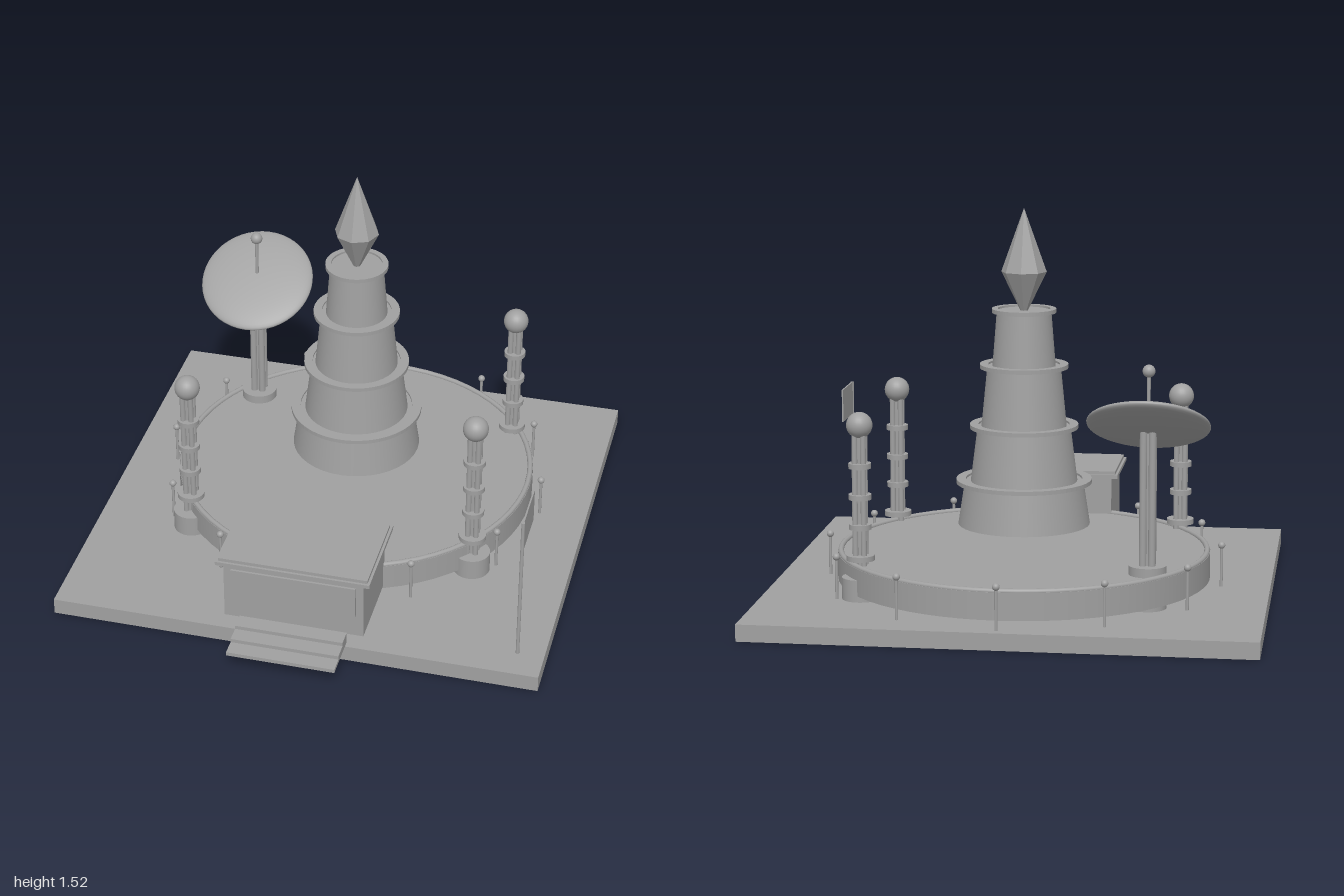
import * as THREE from 'three';

const stone = new THREE.MeshStandardMaterial({ color: 0xa0a0a0 });
stone.name = 'stone grey';
const facet = new THREE.MeshStandardMaterial({ color: 0xa0a0a0, flatShading: true });
facet.name = 'faceted grey';

function add(parent, name, geometry, x, y, z, material = stone) {
  const mesh = new THREE.Mesh(geometry, material);
  mesh.name = name;
  mesh.position.set(x, y, z);
  parent.add(mesh);
  return mesh;
}

// Box given by its limits on each axis
function box(parent, name, x0, x1, y0, y1, z0, z1) {
  return add(parent, name, new THREE.BoxGeometry(x1 - x0, y1 - y0, z1 - z0),
    (x0 + x1) / 2, (y0 + y1) / 2, (z0 + z1) / 2);
}

// Upright round part between two heights
function round(parent, name, rTop, rBottom, y0, y1, x, z, sides = 32) {
  return add(parent, name, new THREE.CylinderGeometry(rTop, rBottom, y1 - y0, sides), x, (y0 + y1) / 2, z);
}

function ball(parent, name, r, x, y, z) {
  return add(parent, name, new THREE.SphereGeometry(r, 24, 16), x, y, z);
}

// Flat hoop with a square section
function hoop(parent, name, outer, inner, y0, y1, x, z) {
  const shape = new THREE.Shape().absarc(0, 0, outer, 0, Math.PI * 2);
  shape.holes.push(new THREE.Path().absarc(0, 0, inner, 0, Math.PI * 2, true));
  const g = new THREE.ExtrudeGeometry(shape, { depth: y1 - y0, bevelEnabled: false, curveSegments: 32 });
  g.rotateX(-Math.PI / 2);
  return add(parent, name, g, x, y0, z);
}

function group(parent, name) {
  const g = new THREE.Group();
  g.name = name;
  parent.add(g);
  return g;
}

// Bundle of thin tubes around a core
function tubeBundle(parent, x, z, y0, y1, spread, r) {
  round(parent, 'core', spread * 0.8, spread * 0.8, y0, y1, x, z, 16);
  for (let i = 0; i < 4; i++) {
    const a = (i + 0.5) * Math.PI / 2;
    round(parent, 'tube', r, r, y0, y1, x + Math.cos(a) * spread, z + Math.sin(a) * spread, 12);
  }
}

function pillar(parent, x, z) {
  const p = group(parent, 'pillar');
  round(p, 'pillarFoot', 0.072, 0.072, 0.065, 0.15, x, z);
  tubeBundle(p, x, z, 0.15, 0.7, 0.023, 0.011);
  round(p, 'lowerFlange', 0.054, 0.054, 0.215, 0.235, x, z);
  for (const y of [0.345, 0.46, 0.58]) round(p, 'collar', 0.043, 0.043, y - 0.01, y + 0.01, x, z);
  ball(p, 'pillarBall', 0.05, x, 0.735, z);
}

export function createModel() {
  const model = new THREE.Group();
  model.name = 'towerPlaza';
  const cz = -0.19; // centre of the round platform

  // Ground slab and round platform with raised rim
  box(model, 'groundSlab', -0.96, 0.96, 0, 0.065, -1, 0.835);
  round(model, 'platform', 0.725, 0.725, 0.09, 0.195, 0, cz, 64);
  const rim = add(model, 'platformRim', new THREE.TorusGeometry(0.713, 0.011, 10, 64), 0, 0.197, cz);
  rim.rotation.x = Math.PI / 2;

  // Tower tiers, each capped by a hoop: bottom radius, top radius, hoop radius, heights
  const tower = group(model, 'tower');
  const tiers = [
    [0.256, 0.23, 0.263, 0.295, 0.465],
    [0.207, 0.18, 0.21, 0.465, 0.68],
    [0.165, 0.142, 0.171, 0.68, 0.915],
    [0.122, 0.105, 0.124, 0.915, 1.13],
  ];
  for (const [rb, rt, rh, y0, y1] of tiers) {
    round(tower, 'tier', rt, rb, y0, y1, 0, cz, 40);
    hoop(tower, 'tierHoop', rh, rt - 0.004, y1 - 0.008, y1 + 0.008, 0, cz);
  }

  // Faceted crystal on top
  const crystal = [[0, 1.125], [0.012, 1.125], [0.088, 1.28], [0, 1.525]].map(([r, y]) => new THREE.Vector2(r, y));
  add(tower, 'crystal', new THREE.LatheGeometry(crystal, 8), 0, 0, cz, facet);

  // Three pillars with balls
  for (const [x, z] of [[0.577, -0.555], [0.577, 0.238], [-0.577, 0.238]]) pillar(model, x, z);

  // Tilted dish on a bundled stand
  const dish = group(model, 'dishTower');
  const dx = -0.515, dz = -0.556;
  round(dish, 'standFoot', 0.072, 0.072, 0.065, 0.23, dx, dz);
  tubeBundle(dish, dx, dz, 0.22, 0.75, 0.024, 0.014);
  const bowl = add(dish, 'dish', new THREE.SphereGeometry(0.232, 48, 24), dx, 0.763, dz);
  bowl.scale.y = 0.15;
  bowl.rotation.x = 0.54;
  round(dish, 'antenna', 0.007, 0.007, 0.77, 0.96, dx, dz, 12);
  ball(dish, 'antennaBall', 0.024, dx, 0.965, dz);

  // Ring of lamp posts, open at the front
  const posts = group(model, 'lampPosts');
  for (let i = 1; i < 12; i++) {
    const a = i * Math.PI / 6;
    const x = Math.sin(a) * 0.77, z = cz + Math.cos(a) * 0.77;
    round(posts, 'post', 0.006, 0.006, 0.065, 0.22, x, z, 10);
    ball(posts, 'postBall', 0.014, x, 0.228, z);
  }

  // Entrance house with flat roof, front panel and steps
  const house = group(model, 'entranceHouse');
  box(house, 'walls', -0.275, 0.275, 0.1, 0.35, 0.457, 0.8);
  box(house, 'frontPanel', -0.245, 0.245, 0.195, 0.325, 0.8, 0.809);
  box(house, 'roof', -0.302, 0.302, 0.348, 0.363, 0.432, 0.82);
  box(house, 'roofCap', -0.292, 0.292, 0.363, 0.376, 0.442, 0.81);
  for (let i = 0; i < 3; i++) {
    box(house, 'step', -0.212, 0.212, 0.068 + i * 0.015, 0.083 + i * 0.015, 0.81, 1 - i * 0.063);
  }

  // Flag
  const flag = group(model, 'flag');
  round(flag, 'flagPole', 0.007, 0.007, 0.065, 0.68, 0.856, 0.71, 12);
  box(flag, 'flagCloth', 0.853, 0.859, 0.545, 0.68, 0.5, 0.71);

  return model;
}
